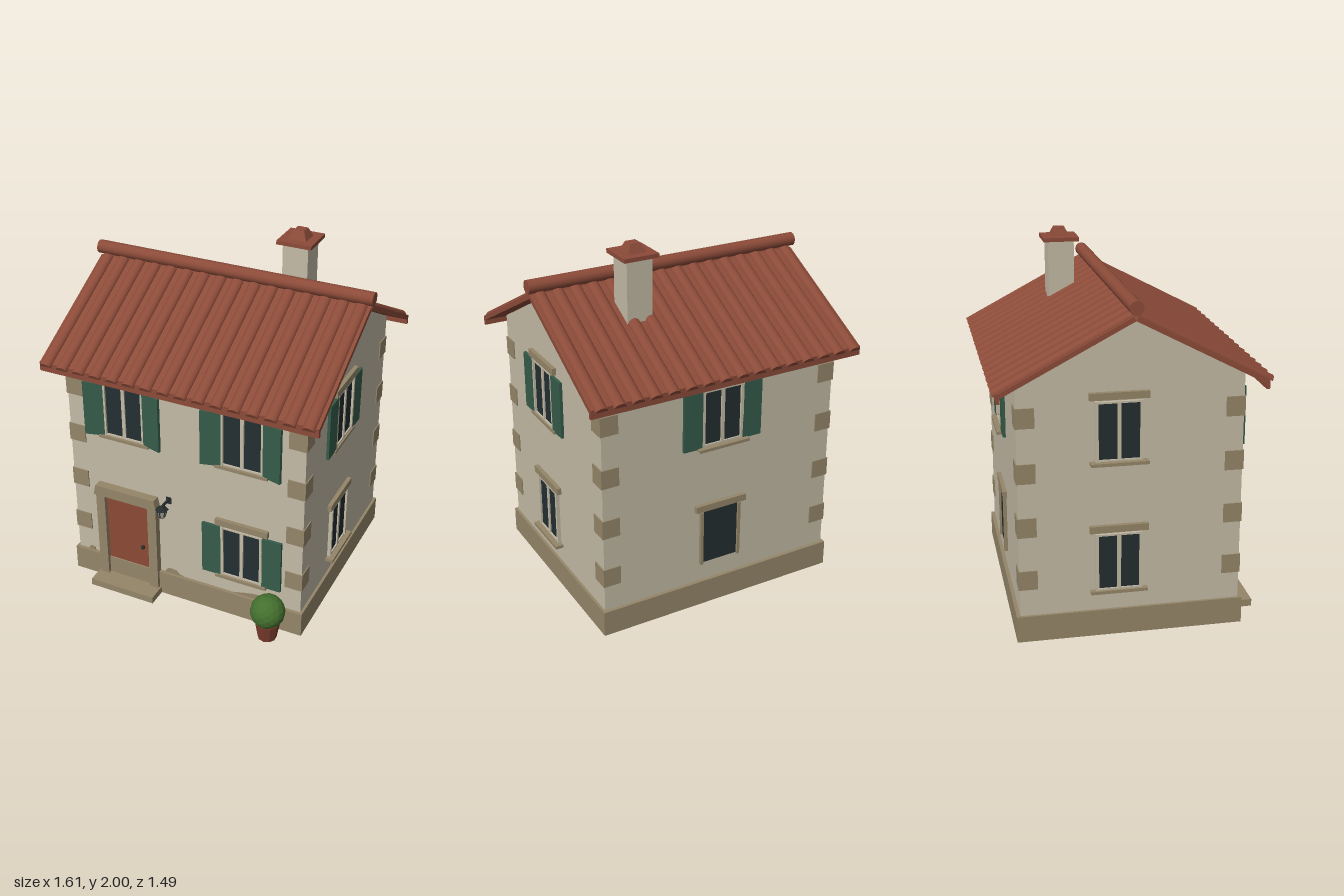
import * as THREE from 'three';

const paint = (name, color, extra) => {
  const m = new THREE.MeshStandardMaterial({ color, ...extra });
  m.name = name;
  return m;
};

export function createModel() {
  const wall = paint('plaster', 0xc4bba6);
  const stone = paint('stone', 0x958669);
  const tile = paint('roof tile', 0x8c4b39);
  const doorRed = paint('door red', 0x8a4935);
  const green = paint('shutter green', 0x355b4a);
  const glass = paint('window glass', 0x232e31);
  const leaf = paint('leaf', 0x44702f, { flatShading: true });
  const metal = paint('dark metal', 0x272c2d);
  const lampGlass = paint('lamp glass', 0xa9a59a, { flatShading: true });
  const clay = paint('clay pot', 0x7c3c2c, { flatShading: true });

  const house = new THREE.Group();
  house.name = 'house';
  const CZ = -0.035, HX = 0.693, HZ = 0.585; // body centre and half sizes

  const add = (parent, name, geo, mat, x = 0, y = 0, z = 0) => {
    const m = new THREE.Mesh(geo, mat);
    m.name = name;
    m.position.set(x, y, z);
    parent.add(m);
    return m;
  };
  const box = (parent, name, mat, w, h, d, x, y, z) =>
    add(parent, name, new THREE.BoxGeometry(w, h, d), mat, x, y, z);
  const group = (parent, name, x = 0, y = 0, z = 0, ry = 0) => {
    const g = new THREE.Group();
    g.name = name;
    g.position.set(x, y, z);
    g.rotation.y = ry;
    parent.add(g);
    return g;
  };

  // Walls with gables, and the plinth
  const gable = new THREE.Shape([[-HZ, 0.1], [HZ, 0.1], [HZ, 1.405], [0.05, 1.69], [-0.05, 1.69], [-HZ, 1.405]]
    .map(([x, y]) => new THREE.Vector2(x, y)));
  const bodyGeo = new THREE.ExtrudeGeometry(gable, { depth: 2 * HX, bevelEnabled: false });
  bodyGeo.translate(0, 0, -HX).rotateY(Math.PI / 2);
  add(house, 'walls', bodyGeo, wall, 0, 0, CZ);
  box(house, 'plinth', stone, 1.416, 0.145, 1.21, 0, 0.0725, CZ);

  // Corner stones
  for (const sx of [-1, 1]) for (const sz of [-1, 1]) for (let i = 0; i < 4; i++)
    box(house, 'cornerStone', stone, 0.1, 0.105, 0.1,
      sx * (HX - 0.044), 0.346 + i * 0.293, CZ + sz * (HZ - 0.044));

  // Roof: two slopes of half-round tiles, eaves boards and ridge
  const pitch = Math.atan(0.525), slopeLen = 0.762;
  const tileGeo = new THREE.CylinderGeometry(0.033, 0.033, slopeLen + 0.017, 8, 1, false, Math.PI / 2, Math.PI);
  tileGeo.rotateX(Math.PI / 2).scale(1, 0.8, 1).translate(0, 0, (slopeLen + 0.017) / 2);
  for (const s of [1, -1]) {
    const side = group(house, s > 0 ? 'frontRoof' : 'backRoof', 0, 0, CZ, s > 0 ? 0 : Math.PI);
    const slope = group(side, 'roofSlope', 0, 1.715, 0);
    slope.rotation.x = pitch;
    box(slope, 'roofSlab', tile, 1.58, 0.025, slopeLen, 0, 0.0125, slopeLen / 2);
    for (let i = 0; i < 16; i++)
      add(slope, 'roofTile', tileGeo, tile, s * (-0.746 + i * 0.099), 0.022, 0);
    box(side, 'eavesBoard', tile, 1.58, 0.05, 0.018, 0, 1.361, 0.676);
  }
  const ridge = new THREE.CylinderGeometry(0.037, 0.037, 1.605, 12);
  add(house, 'ridge', ridge.rotateZ(Math.PI / 2), tile, 0, 1.78, CZ);

  // Chimney
  const chimney = group(house, 'chimney', 0.308, 0, -0.243);
  box(chimney, 'chimneyStack', wall, 0.144, 0.43, 0.144, 0, 1.715, 0);
  box(chimney, 'chimneyCap', tile, 0.197, 0.022, 0.197, 0, 1.941, 0);
  const pot = new THREE.CylinderGeometry(0.028 * Math.SQRT2, 0.052 * Math.SQRT2, 0.05, 4).toNonIndexed();
  pot.rotateY(Math.PI / 4).computeVertexNormals();
  add(chimney, 'chimneyTop', pot, tile, 0, 1.975, 0);

  // Window facing +z; y is the bottom of the opening
  const makeWindow = (name, x, y, z, ry, { shutters = true, swing = 0, sill = 0.045, single = false } = {}) => {
    const w = group(house, name, x, y, z, ry);
    const H = 0.315;
    box(w, 'windowGlass', glass, 0.225, H, 0.012, 0, H / 2, 0.002);
    for (const s of [-1, 1]) {
      box(w, 'windowPost', single ? stone : wall, 0.016, H + 0.01, 0.024, s * 0.115, H / 2, 0.008);
      if (!shutters) continue;
      const hinge = group(w, 'shutterHinge', s * 0.12, 0, 0.002, -s * swing);
      box(hinge, 'shutter', green, 0.113, 0.32, 0.016, s * 0.0565, H / 2 - 0.002, 0.01);
    }
    box(w, 'lintel', stone, 0.307, 0.038, 0.03, 0, 0.346, 0.008);
    if (single) return;
    box(w, 'mullion', wall, 0.02, H, 0.02, 0, H / 2, 0.006);
    for (const py of [0.005, H - 0.004])
      box(w, 'windowRail', wall, 0.23, 0.01, 0.02, 0, py, 0.006);
    box(w, 'sill', stone, 0.3, 0.017, sill + 0.01, 0, -0.008, sill / 2 - 0.005);
  };
  const UP = 0.975, LOW = 0.26, ZF = CZ + HZ, ZB = CZ - HZ, Q = Math.PI / 2;
  const front = { sill: 0.03, swing: 0.25 };
  makeWindow('frontUpperRightWindow', -0.346, UP, ZF, 0, front);
  makeWindow('frontUpperLeftWindow', 0.346, UP, ZF, 0, front);
  makeWindow('frontLowerWindow', 0.346, LOW, ZF, 0, { sill: 0.03 });
  makeWindow('leftUpperWindow', HX, UP, 0.045, Q, { sill: 0.025 });
  makeWindow('leftLowerWindow', HX, LOW, 0.045, Q, { shutters: false });
  makeWindow('rightUpperWindow', -HX, UP, -0.1, -Q, { shutters: false });
  makeWindow('rightLowerWindow', -HX, LOW, -0.1, -Q, { shutters: false, sill: 0.03 });
  makeWindow('backUpperWindow', 0, UP, ZB, Math.PI);
  makeWindow('backLowerWindow', 0, LOW, ZB, Math.PI, { shutters: false, single: true });

  // Front door with stone surround and step
  const door = group(house, 'frontDoor', -0.347, 0, ZF);
  box(door, 'doorPanel', doorRed, 0.275, 0.415, 0.02, 0, 0.355, 0.004);
  add(door, 'doorKnob', new THREE.SphereGeometry(0.012, 10, 8), metal, 0.088, 0.285, 0.022);
  for (const s of [-1, 1])
    box(door, 'doorPost', stone, 0.054, 0.56, 0.05, s * 0.161, 0.31, 0.015);
  const head = new THREE.Shape([[-0.197, 0.583], [0.197, 0.583], [0.183, 0.645], [-0.183, 0.645]]
    .map(([x, y]) => new THREE.Vector2(x, y)));
  add(door, 'doorLintel', new THREE.ExtrudeGeometry(head, { depth: 0.06, bevelEnabled: false }), stone, 0, 0, -0.01);
  box(door, 'doorStep', stone, 0.397, 0.04, 0.14, 0, 0.02, 0.06);

  // Worn plaster patches above the plinth
  const patches = [
    [-0.63, [0, 0, 0.045, 0, 0.04, 0.02, 0.022, 0.028, 0.005, 0.018]],
    [-0.13, [0, 0, 0.125, 0, 0.09, 0.01, 0.07, 0.03, 0.03, 0.034, 0.01, 0.022]],
    [0.29, [0, 0, 0.2, 0, 0.19, 0.035, 0.12, 0.03, 0.06, 0.016]],
  ];
  for (const [x, p] of patches) {
    const pts = [];
    for (let i = 0; i < p.length; i += 2) pts.push(new THREE.Vector2(p[i], p[i + 1]));
    add(house, 'plasterPatch', new THREE.ExtrudeGeometry(new THREE.Shape(pts), { depth: 0.005, bevelEnabled: false }),
      stone, x, 0.144, ZF);
  }

  // Wall lantern
  const lamp = group(house, 'wallLantern', -0.095, 0, 0.632);
  box(lamp, 'lanternArm', metal, 0.012, 0.01, 0.09, 0, 0.652, -0.04);
  box(lamp, 'lanternPlate', metal, 0.03, 0.04, 0.008, 0, 0.645, -0.08);
  add(lamp, 'lanternCap', new THREE.ConeGeometry(0.038, 0.028, 6), metal, 0, 0.649, 0);
  add(lamp, 'lanternGlass', new THREE.CylinderGeometry(0.029, 0.018, 0.045, 6), lampGlass, 0, 0.613, 0);
  for (let i = 0; i < 6; i++) {
    const bar = group(lamp, 'lanternBar', 0, 0.613, 0, i * Math.PI / 3);
    box(bar, 'bar', metal, 0.004, 0.046, 0.004, 0, 0, 0.024).rotation.x = 0.24;
  }
  add(lamp, 'lanternBase', new THREE.CylinderGeometry(0.019, 0.016, 0.006, 6), metal, 0, 0.589, 0);

  // Potted bush
  const plant = group(house, 'pottedBush', 0.543, 0, 0.648);
  add(plant, 'pot', new THREE.CylinderGeometry(0.07, 0.052, 0.105, 10), clay, 0, 0.0525, 0);
  add(plant, 'bush', new THREE.IcosahedronGeometry(0.096, 2), leaf, 0, 0.175, 0);

  return house;
}
